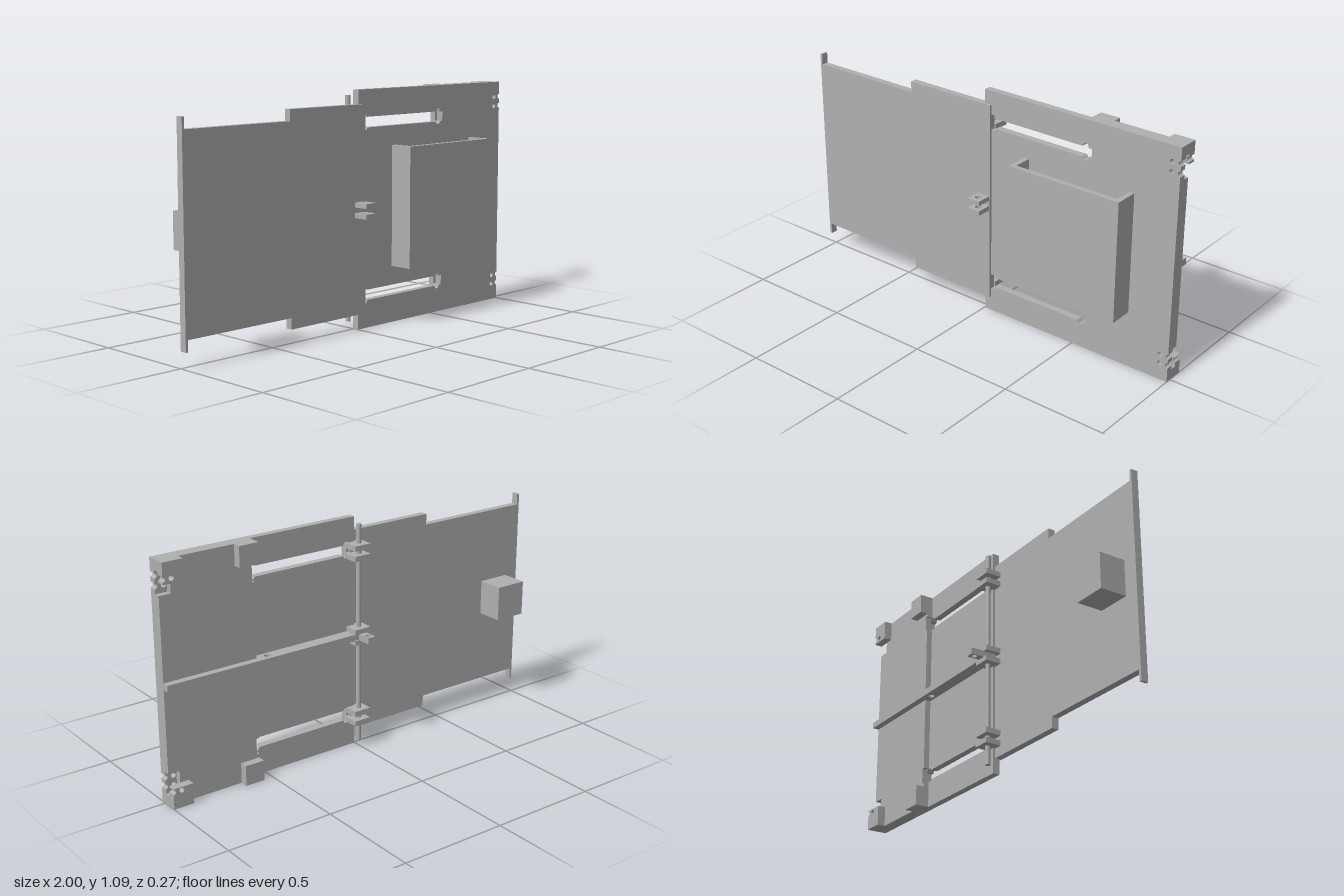
import * as THREE from 'three';

const H = 1.092, MID = H / 2, R = 0.012;

export function createModel() {
  const group = new THREE.Group();
  const grey = new THREE.MeshStandardMaterial({ color: 0xb0b0b0 });
  grey.name = 'plain grey';

  const add = (name, geo) => {
    const m = new THREE.Mesh(geo, grey);
    m.name = name;
    group.add(m);
    return m;
  };
  const box = (name, x0, x1, y0, y1, z0, z1) =>
    add(name, new THREE.BoxGeometry(x1 - x0, y1 - y0, z1 - z0)
      .translate((x0 + x1) / 2, (y0 + y1) / 2, (z0 + z1) / 2));
  const poly = pts => new THREE.Shape(pts.map(p => new THREE.Vector2(...p)));
  const slab = (shape, z0, z1) =>
    new THREE.ExtrudeGeometry(shape, { depth: z1 - z0, bevelEnabled: false, curveSegments: 10 }).translate(0, 0, z0);
  // Horizontal slab drawn in x and z, between two heights
  const flat = (shape, y0, y1) => slab(shape, -y1, -y0).rotateX(Math.PI / 2).scale(1, 1, 1).translate(0, 0, 0);
  const hole = (shape, x, y, r = R) => {
    const p = new THREE.Path();
    p.absarc(x, y, r, 0, Math.PI * 2, true);
    shape.holes.push(p);
  };
  const flip = y => H - y;

  // Rectangle with half-round bites in its right edge and matching holes
  const drilled = (x0, y0, y1, ys) => {
    const s = new THREE.Shape();
    s.moveTo(x0, y0);
    s.lineTo(1, y0);
    for (const y of ys) {
      s.lineTo(1, y - R);
      s.absarc(1, y, R, -Math.PI / 2, Math.PI / 2, true);
      hole(s, 0.96, y);
    }
    s.lineTo(1, y1);
    s.lineTo(x0, y1);
    s.closePath();
    return s;
  };

  // Sliding plate with stepped outline and end lip
  const half = [[-1, 0.072], [-0.988, 0.072], [-0.988, 0.123], [-0.42, 0.123], [-0.42, 0.072], [0.038, 0.072]];
  const other = half.map(([x, y]) => [x, flip(y) + 0.007]).reverse();
  add('slidingPlate', slab(poly([...half, ...other]), 0.003, 0.036));

  // Fixed plate with two guide slots
  const ys = [0.08, 0.123, 0.975, 1.02];
  const fixed = drilled(0.003, 0, H, ys);
  const slot = [[0.025, 0.92], [0.036, 0.92], [0.036, 0.909], [0.056, 0.909], [0.062, 0.92], [0.525, 0.92],
    [0.535, 0.909], [0.552, 0.909], [0.557, 0.922], [0.573, 0.922], [0.573, 0.966], [0.557, 0.966],
    [0.552, 0.983], [0.535, 0.983], [0.525, 0.968], [0.062, 0.968], [0.056, 0.983], [0.036, 0.983], [0.036, 0.968], [0.025, 0.968]];
  fixed.holes.push(poly(slot), poly(slot.map(([x, y]) => [x, flip(y) + 0.005])));
  add('fixedPlate', slab(fixed, -0.008, 0.025));

  // Thicker rear section, notched at the slot ends and at the outer corners
  const lower = [[0.545, 0], [1, 0], [1, 0.048], [0.945, 0.048], [0.945, 0.15], [1, 0.15]];
  const upper = lower.map(([x, y]) => [x, flip(y)]).reverse();
  const notch = [[0.545, 0.983], [0.557, 0.983], [0.557, 0.909], [0.545, 0.909],
    [0.545, 0.188], [0.557, 0.188], [0.557, 0.114], [0.545, 0.114]];
  add('rearThickening', slab(poly([...lower, ...upper, ...notch]), -0.036, -0.008));

  // Rear pads: drilled corner pads and plain inner pads
  add('lowerCornerPad', slab(drilled(0.903, 0, 0.095, [0.08]), -0.074, -0.036));
  add('upperCornerPad', slab(drilled(0.903, 0.998, H, [1.02]), -0.074, -0.036));
  box('lowerInnerPad', 0.545, 0.64, 0, 0.095, -0.074, -0.036);
  box('upperInnerPad', 0.545, 0.64, 0.998, H, -0.074, -0.036);

  // Front handle: U-shaped cover open at top and bottom
  const cover = poly([[0.225, 0.025], [0.225, 0.138], [0.79, 0.138], [0.79, 0.025],
    [0.767, 0.025], [0.767, 0.114], [0.248, 0.114], [0.248, 0.025]]);
  add('frontCover', flat(cover, 0.266, 0.83));

  // Vertical rod and its clamp lugs
  add('rod', new THREE.CylinderGeometry(R, R, 1.035, 20).translate(0, 0.548, -0.038));
  for (const [y0, y1] of [[0.118, 0.142], [0.165, 0.19], [0.905, 0.93], [0.953, 0.977], [0.512, 0.536], [0.562, 0.587]])
    box('rodLug', -0.04, 0.044, y0, y1, -0.074, 0.004);

  // Front pair of pierced lugs
  for (const y of [0.519, 0.567]) {
    const s = poly([[-0.03, 0.03], [0.034, 0.03], [0.034, 0.108], [-0.03, 0.108]]);
    hole(s, 0.002, 0.073, 0.015);
    add('frontLug', flat(s, y, y + 0.022));
  }

  // Lever bar with pivot arm
  const bar = poly([[-0.018, -0.137], [0.02, -0.137], [0.02, -0.068], [1, -0.068], [1, -0.036], [0.545, -0.036],
    [0.545, -0.008], [-0.018, -0.008]]);
  hole(bar, 0.49, -0.038, 0.016);
  hole(bar, 0.001, -0.113, 0.014);
  add('leverBar', flat(bar, 0.534, 0.564));

  // Weight block on the back of the sliding plate
  box('backBlock', -0.93, -0.775, 0.466, 0.63, -0.122, 0.004);

  return group;
}
